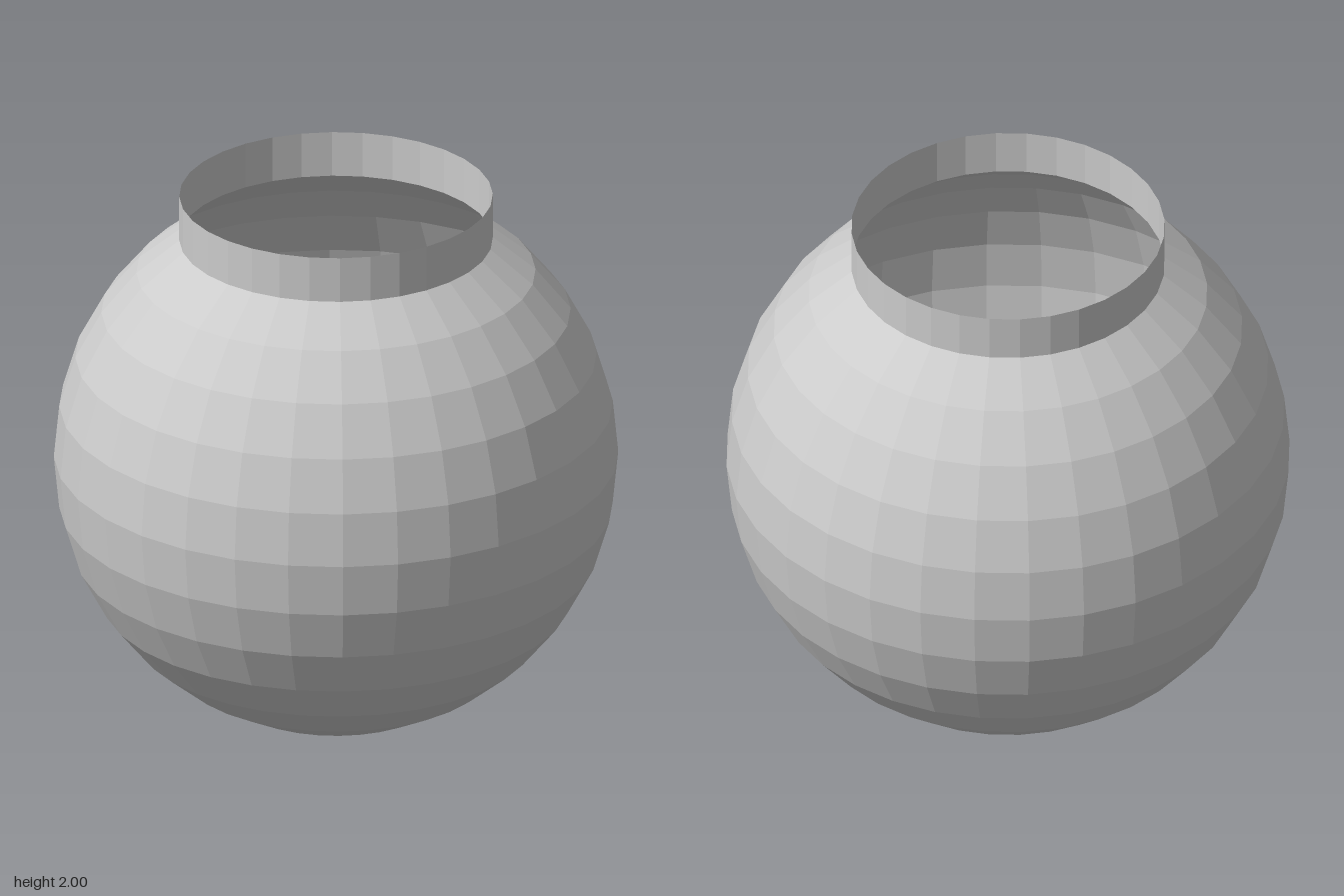
import * as THREE from 'three';

const SIDES = 32;
const STEP = Math.PI / 16; // latitude step between rings

export function createModel() {
  const group = new THREE.Group();
  const glass = new THREE.MeshStandardMaterial({
    color: 0xcccccc, flatShading: true, side: THREE.DoubleSide,
  });
  const red = new THREE.MeshStandardMaterial({
    color: 0xdc143c, flatShading: true, side: THREE.DoubleSide,
  });

  const add = (name, geometry, material) => {
    const mesh = new THREE.Mesh(geometry, material);
    mesh.name = name;
    group.add(mesh);
    return mesh;
  };

  // Rings of a sphere resting on y = 0, from the bottom pole up to a ring above the equator
  const arc = (radius, lastRing) => {
    const points = [];
    for (let i = -8; i <= lastRing; i++) {
      const r = i === -8 ? 0 : radius * Math.cos(i * STEP);
      points.push(new THREE.Vector2(r, 1 + radius * Math.sin(i * STEP)));
    }
    return points;
  };

  // Round bowl, open at the top
  add('bowl', new THREE.LatheGeometry(arc(1, 5), SIDES), glass);

  // Straight open neck
  const neckRadius = Math.cos(5 * STEP);
  const neckBase = 1 + Math.sin(5 * STEP);
  const neck = new THREE.CylinderGeometry(neckRadius, neckRadius, 2 - neckBase, SIDES, 1, true);
  add('neck', neck, glass).position.y = (2 + neckBase) / 2;

  // Liquid filling the lower bowl, closed by a flat surface and set just inside the wall
  const liquid = arc(0.996, -1);
  liquid.push(new THREE.Vector2(0, liquid[liquid.length - 1].y));
  add('liquid', new THREE.LatheGeometry(liquid, SIDES), red);

  return group;
}
